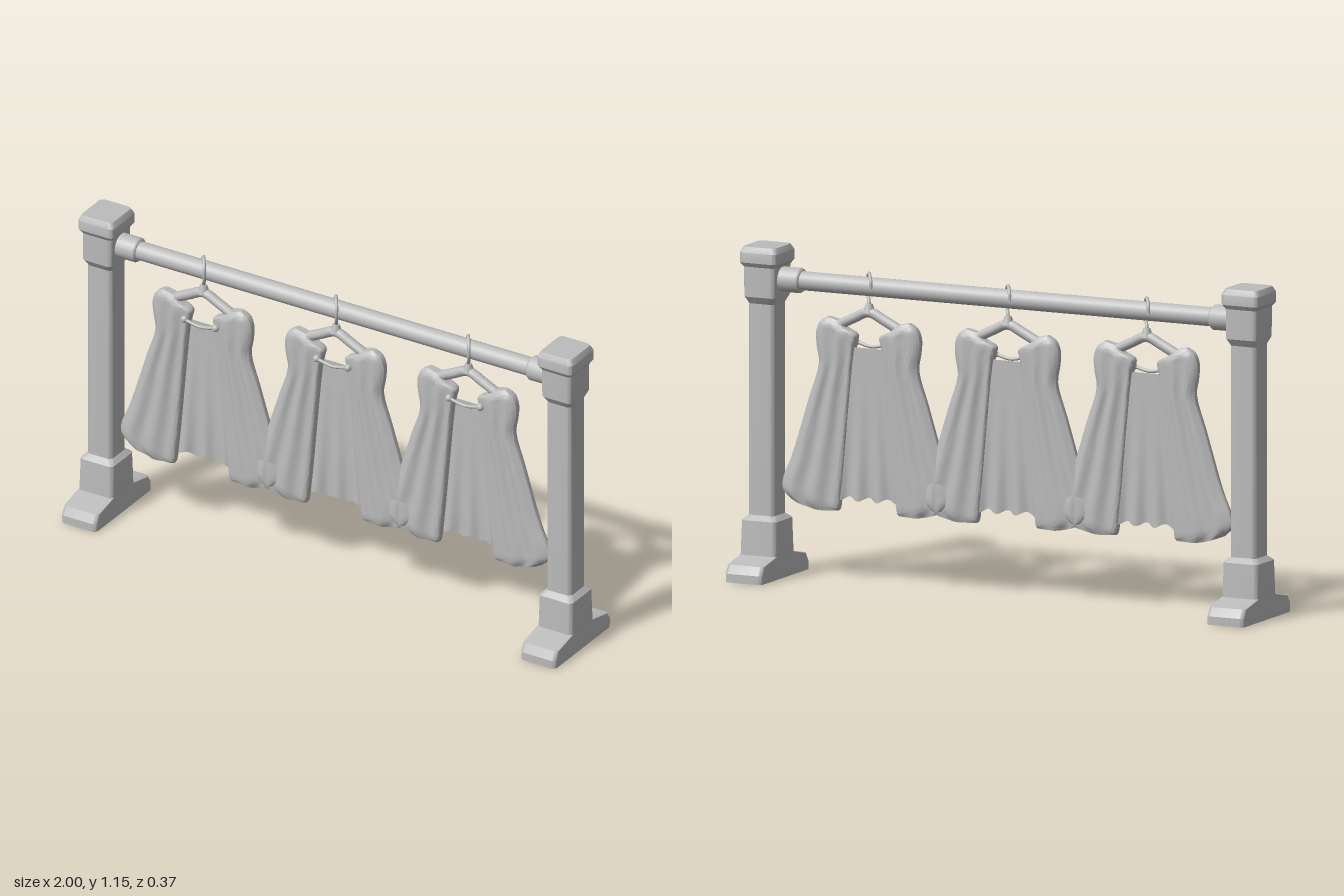
import * as THREE from 'three';
import { toCreasedNormals } from 'three/addons/utils/BufferGeometryUtils.js';

const grey = new THREE.MeshStandardMaterial({ color: 0xbcbcbc, side: THREE.DoubleSide });
grey.name = 'plain grey';

const V = (x, y, z = 0) => new THREE.Vector3(x, y, z);

function mesh(name, geometry, parent) {
  const m = new THREE.Mesh(geometry, grey);
  m.name = name;
  parent.add(m);
  return m;
}

// Closed skin over rings listed from bottom to top, counter-clockwise from above
function loft(rings, crease) {
  const n = rings[0].length, pos = [], idx = [];
  rings.forEach(r => r.forEach(p => pos.push(p.x, p.y, p.z)));
  for (let i = 0; i < rings.length - 1; i++) {
    for (let j = 0; j < n; j++) {
      const a = i * n + j, b = i * n + (j + 1) % n;
      idx.push(a, b, b + n, a, b + n, a + n);
    }
  }
  [0, rings.length - 1].forEach(i => {
    const c = rings[i].reduce((s, p) => s.add(p), V(0, 0)).divideScalar(n);
    const k = pos.length / 3;
    pos.push(c.x, c.y, c.z);
    for (let j = 0; j < n; j++) {
      const a = i * n + j, b = i * n + (j + 1) % n;
      if (i === 0) idx.push(k, b, a); else idx.push(k, a, b);
    }
  });
  const g = new THREE.BufferGeometry();
  g.setAttribute('position', new THREE.Float32BufferAttribute(pos, 3));
  g.setIndex(idx);
  return toCreasedNormals(g, crease);
}

// Rounded rectangle ring at one height
function roundedRing(y, hx, hz, r = 0.016) {
  const pts = [];
  for (let q = 0; q < 4; q++) {
    const sx = q === 0 || q === 3 ? 1 : -1, sz = q < 2 ? -1 : 1;
    for (let k = 0; k <= 4; k++) {
      const a = (q + k / 4) * Math.PI / 2;
      pts.push(V(sx * (hx - r) + r * Math.cos(a), y, sz * (hz - r) - r * Math.sin(a)));
    }
  }
  return pts;
}

// Post profile: height, half width, half depth
const POST = [
  [0, 0.071, 0.185], [0.03, 0.072, 0.185], [0.06, 0.07, 0.168], [0.08, 0.07, 0.075],
  [0.2, 0.067, 0.071], [0.217, 0.05, 0.05], [0.955, 0.05, 0.05], [0.98, 0.06, 0.067],
  [1.085, 0.061, 0.068], [1.1, 0.072, 0.078], [1.135, 0.072, 0.078], [1.155, 0.062, 0.068],
];

// Cloak flap rows from hem to shoulder: inner x, inner y, outer x, outer y, half thickness
const FLAP = [
  [0.115, 0.25, 0.3, 0.278, 0.018], [0.111, 0.26, 0.33, 0.31, 0.028],
  [0.106, 0.3, 0.328, 0.35, 0.031], [0.095, 0.4, 0.295, 0.43, 0.031],
  [0.073, 0.64, 0.228, 0.64, 0.031], [0.06, 0.77, 0.19, 0.76, 0.031],
  [0.052, 0.83, 0.198, 0.82, 0.031], [0.045, 0.868, 0.2, 0.87, 0.03],
  [0.085, 0.89, 0.185, 0.906, 0.027], [0.105, 0.912, 0.158, 0.925, 0.015],
];

function flapGeometry(side) {
  const inner = new THREE.CatmullRomCurve3(FLAP.map(r => V(r[0], r[1], r[4])));
  const outer = new THREE.CatmullRomCurve3(FLAP.map(r => V(r[2], r[3])));
  const rings = [], rows = 36, n = 56;
  for (let i = 0; i <= rows; i++) {
    const v = i / rows, a = inner.getPoint(v), b = outer.getPoint(v);
    const fold = Math.min(1, Math.max(0, (0.95 - v) * 2));
    const ring = [];
    for (let j = 0; j < n; j++) {
      const t = j / n * Math.PI * 2, c = Math.cos(t), s = Math.sin(t);
      const u = (1 + c) / 2;
      // Two soft pleats run down each flap
      const pleat = 1 - 0.2 * fold * (1 - Math.cos(u * Math.PI * 5));
      ring.push(V(
        side * (a.x + (b.x - a.x) * u),
        a.y + (b.y - a.y) * u - 0.014 * Math.sin(Math.PI * u) * Math.max(0, 1 - v * 3),
        -Math.sign(s) * Math.sqrt(Math.abs(s)) * a.z * pleat));
    }
    rings.push(side > 0 ? ring : ring.reverse());
  }
  return loft(rings, 0.7);
}

// Thin centre cloth with ripples growing toward the hem
function backClothGeometry() {
  const g = new THREE.PlaneGeometry(2, 1, 40, 16);
  const p = g.attributes.position;
  for (let i = 0; i < p.count; i++) {
    const s = p.getX(i), d = 0.5 - p.getY(i);
    const x = s * (0.08 + 0.08 * d);
    const y = 0.825 - 0.53 * d + 0.007 * d * Math.cos(s * 14);
    p.setXYZ(i, x, y, -0.008 + 0.009 * d * d * Math.cos(s * 12));
  }
  g.computeVertexNormals();
  return g;
}

const tube = (points, r, seg = 32) =>
  new THREE.TubeGeometry(new THREE.CatmullRomCurve3(points), seg, r, 10);

function cloakOnHanger() {
  const g = new THREE.Group();
  // Wire hook turned diagonally over the rail
  const hook = [[-0.04, 1.035], [-0.036, 1.065], [0, 1.086], [0.036, 1.065], [0.04, 1.035],
    [0.026, 1.005], [0.004, 0.988], [0, 0.955]];
  mesh('hangerHook', tube(hook.map(([s, y]) => V(s * 0.57, y, s * 0.82)), 0.006, 48), g);
  mesh('hangerArms', tube([V(-0.15, 0.88), V(-0.06, 0.925), V(0, 0.95), V(0.06, 0.925),
    V(0.15, 0.88)], 0.018), g);
  const boss = mesh('hangerNeck', new THREE.CylinderGeometry(0.012, 0.022, 0.03, 12), g);
  boss.position.y = 0.965;
  mesh('cloakBack', backClothGeometry(), g);
  // Front clasp with a bead at each end
  mesh('claspChain', tube([V(-0.06, 0.838, 0.026), V(0, 0.826, 0.024), V(0.06, 0.838, 0.026)], 0.006), g);
  for (const side of [-1, 1]) {
    mesh(side > 0 ? 'leftFlap' : 'rightFlap', flapGeometry(side), g);
    const bead = mesh('claspBead', new THREE.SphereGeometry(0.013, 12, 8), g);
    bead.position.set(side * 0.063, 0.838, 0.024);
  }
  return g;
}

export function createModel() {
  const model = new THREE.Group();
  model.name = 'cloakRack';

  // Posts and rail sockets
  const postGeo = loft(POST.map(([y, hx, hz]) => roundedRing(y, hx, hz)), 0.5);
  for (const side of [-1, 1]) {
    mesh(side > 0 ? 'leftPost' : 'rightPost', postGeo, model).position.x = side * 0.928;
    const socket = mesh('railSocket', new THREE.LatheGeometry(
      [[0.03, -0.04], [0.038, -0.04], [0.044, -0.032], [0.044, 0.04]]
        .map(([r, y]) => new THREE.Vector2(r, y)), 24), model);
    socket.rotation.z = -side * Math.PI / 2;
    socket.position.set(side * 0.83, 1.04, 0);
  }

  // Rail
  const rail = mesh('rail', new THREE.CylinderGeometry(0.033, 0.033, 1.74, 24), model);
  rail.rotation.z = Math.PI / 2;
  rail.position.y = 1.04;

  // Three hanging cloaks
  [-0.535, 0, 0.535].forEach((x, i) => {
    const cloak = cloakOnHanger();
    cloak.name = 'cloak' + (i + 1);
    cloak.position.x = x;
    model.add(cloak);
  });
  return model;
}
